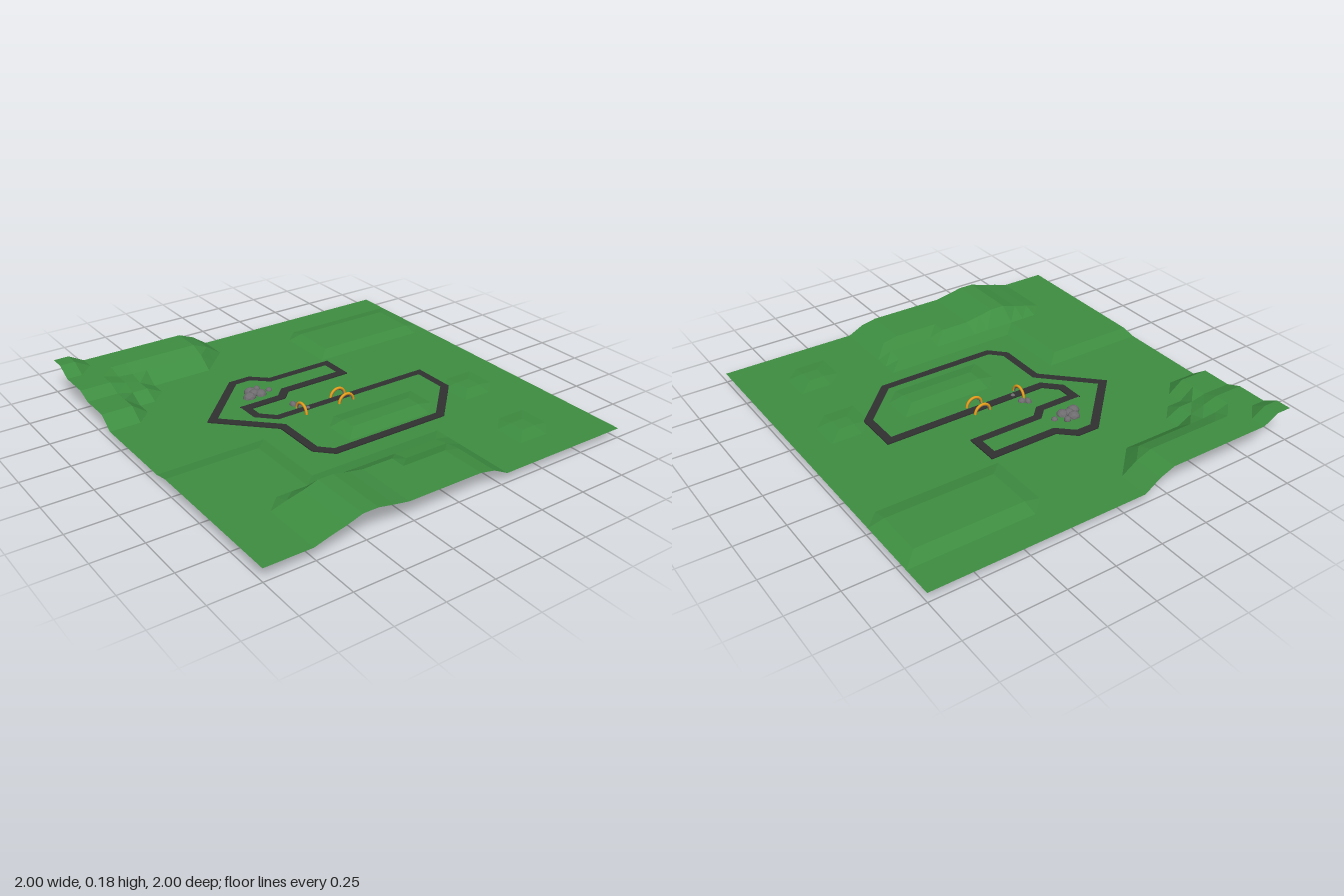
import * as THREE from 'three';

const material = (name, color, extra = {}) => {
  const m = new THREE.MeshStandardMaterial({ color, ...extra });
  m.name = name;
  return m;
};

export function createModel() {
  const model = new THREE.Group();
  model.name = 'trackLandscape';
  const grass = material('grass green', 0x3e8e41, { side: THREE.DoubleSide, flatShading: true });
  const asphalt = material('asphalt', 0x313131);
  const gold = material('gold', 0xeda21c);
  const stone = material('stone grey', 0x6e6c6e, { flatShading: true });

  const add = (name, geometry, mat, parent = model) => {
    const mesh = new THREE.Mesh(geometry, mat);
    mesh.name = name;
    parent.add(mesh);
    return mesh;
  };

  // Terrain: raised plateaus [x0, x1, z0, z1, height], each with a one-cell ramp
  const base = 0.05;
  const plateaus = [
    // stepped hill at the back
    [-1, -0.92, -1, -0.92, 0.18],
    [-1, -0.28, -1, -0.84, 0.137],
    [-1, -0.84, -0.84, -0.68, 0.137],
    [-1, -0.76, -0.76, -0.68, 0.115],
    [-1, -0.84, -0.68, -0.44, 0.108],
    [-0.76, -0.2, -1, -0.84, 0.105],
    [-0.76, -0.28, -0.84, -0.76, 0.108],
    [-0.84, -0.68, -0.76, -0.6, 0.09],
    // front hill running off the edge
    [-0.68, -0.68, 0.68, 1, 0.09],
    [-0.6, -0.6, 0.68, 1, 0.11],
    [-0.52, -0.44, 0.68, 1, 0.136],
    [-0.36, -0.36, 0.68, 1, 0.12],
    [-0.28, -0.12, 0.68, 1, 0.106],
    [-0.12, 0.12, 0.76, 1, 0.106],
    [0.2, 0.2, 0.76, 1, 0.09],
    [-0.04, 0.2, 0.68, 0.76, 0.08],
    // low swells
    [-1, -0.52, 0.2, 1, 0.066],
    [-0.52, 0.2, 0.6, 1, 0.066],
    [0.36, 0.92, -0.76, -0.52, 0.068],
    [-0.04, 0.36, 0.2, 0.28, 0.066],
    [0.68, 0.76, 0.2, 0.28, 0.06],
    [0.6, 0.68, 0.68, 0.76, 0.06],
  ];
  const heightAt = (x, z) => plateaus.reduce((h, [x0, x1, z0, z1, top]) =>
    x > x0 - 0.01 && x < x1 + 0.01 && z > z0 - 0.01 && z < z1 + 0.01 ? Math.max(h, top) : h, base);
  const sheet = new THREE.PlaneGeometry(2, 2, 25, 25).rotateX(-Math.PI / 2);
  const pos = sheet.attributes.position;
  for (let i = 0; i < pos.count; i++) pos.setY(i, heightAt(pos.getX(i), pos.getZ(i)));
  const terrain = sheet.toNonIndexed();
  terrain.computeVertexNormals();
  add('terrain', terrain, grass);

  // Road: closed centre line offset to both sides with mitred corners
  const line = [
    [-0.55, -0.17], [-0.265, -0.46], [-0.165, -0.46], [-0.085, -0.385], [0.27, -0.385],
    [0.27, -0.245], [-0.085, -0.245], [-0.14, -0.19], [-0.35, -0.19], [-0.35, -0.09],
    [-0.275, -0.015], [0.607, -0.015], [0.607, 0.19], [0.39, 0.41], [-0.235, 0.41],
    [-0.303, 0.34], [-0.303, 0.075],
  ].map(([x, z]) => new THREE.Vector2(x, -z));
  const offset = (d) => line.map((p, i) => {
    const n = line.length;
    const a = p.clone().sub(line[(i + n - 1) % n]).normalize();
    const b = line[(i + 1) % n].clone().sub(p).normalize();
    const normal = new THREE.Vector2(-a.y - b.y, a.x + b.x).normalize();
    return p.clone().addScaledVector(normal, d / (normal.x * -a.y + normal.y * a.x));
  });
  const roadShape = new THREE.Shape(offset(0.021));
  roadShape.holes.push(new THREE.Path(offset(-0.021)));
  const road = add('road',
    new THREE.ExtrudeGeometry(roadShape, { depth: 0.006, bevelEnabled: false }).rotateX(-Math.PI / 2), asphalt);
  road.position.y = 0.052;

  // Hoops half sunk in the ground, each with a stone lining
  const hoop = (name, x, z, turn) => {
    const g = new THREE.Group();
    g.name = name;
    g.position.set(x, 0.05, z);
    g.rotation.y = turn;
    add('hoopRim', new THREE.TorusGeometry(0.043, 0.007, 8, 28), gold, g);
    add('hoopLining', new THREE.TorusGeometry(0.037, 0.004, 6, 24), stone, g);
    model.add(g);
  };
  hoop('crossingHoop', -0.138, -0.013, Math.PI / 2);
  hoop('frontHoop', 0.103, 0.028, 0);
  hoop('backHoop', 0.103, -0.047, 0);

  // Boulders [x, y, z, radius x, radius y, radius z]
  [
    [-0.27, 0.05, -0.285, 0.035, 0.028, 0.03],
    [-0.205, 0.05, -0.285, 0.03, 0.027, 0.03],
    [-0.24, 0.053, -0.33, 0.032, 0.026, 0.028],
    [-0.195, 0.055, -0.34, 0.018, 0.018, 0.018],
    [-0.235, 0.06, -0.3, 0.025, 0.02, 0.025],
    [-0.147, 0.05, -0.3, 0.017, 0.016, 0.017],
    [-0.135, 0.05, -0.095, 0.022, 0.02, 0.017],
    [-0.112, 0.05, -0.075, 0.02, 0.018, 0.02],
    [-0.1, 0.055, -0.015, 0.012, 0.012, 0.012],
  ].forEach(([x, y, z, rx, ry, rz], i) => {
    const rock = add('boulder', new THREE.IcosahedronGeometry(1, 1), stone);
    rock.position.set(x, y, z);
    rock.scale.set(rx, ry, rz);
    rock.rotation.y = i * 1.3;
  });

  return model;
}
